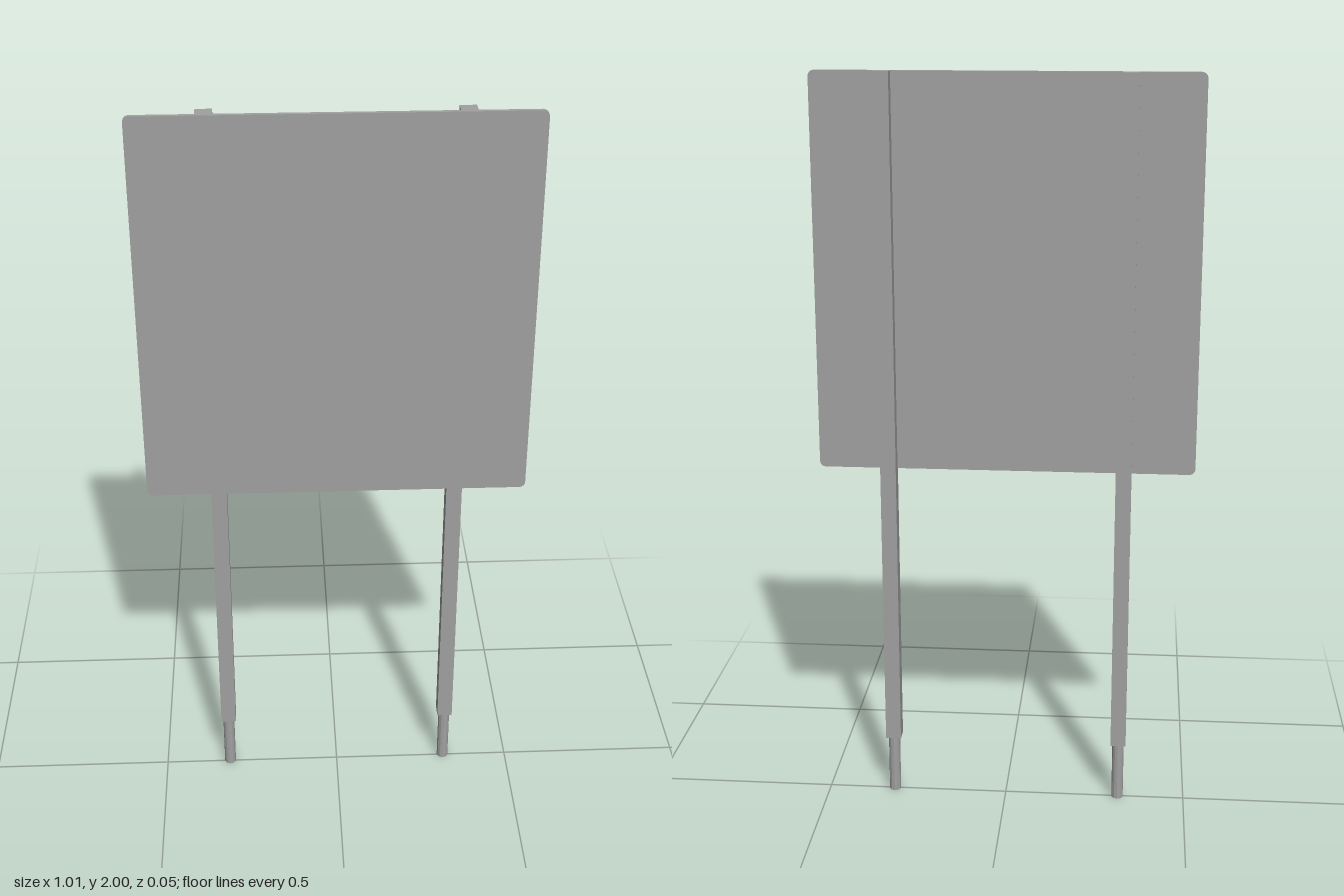
import * as THREE from 'three';

export function createModel() {
  const model = new THREE.Group();
  model.name = 'signBoard';
  const metal = new THREE.MeshStandardMaterial({ color: 0xa0a0a0 });
  metal.name = 'grey metal';

  const add = (name, geometry, x, y, z) => {
    const mesh = new THREE.Mesh(geometry, metal);
    mesh.name = name;
    mesh.position.set(x, y, z);
    model.add(mesh);
  };

  // Thin panel with small rounded corners
  const w = 0.505, bottom = 0.95, top = 2, r = 0.016;
  const outline = new THREE.Shape();
  outline.absarc(w - r, top - r, r, 0, Math.PI / 2);
  outline.absarc(-w + r, top - r, r, Math.PI / 2, Math.PI);
  outline.absarc(-w + r, bottom + r, r, Math.PI, Math.PI * 1.5);
  outline.absarc(w - r, bottom + r, r, Math.PI * 1.5, Math.PI * 2);
  outline.closePath();
  add('panel', new THREE.ExtrudeGeometry(outline, { depth: 0.011, bevelEnabled: false, curveSegments: 5 }), 0, 0, 0.012);

  // Square posts behind the panel, each with a narrow ground pin
  const pinTop = 0.165, post = 0.042;
  const pin = new THREE.CylinderGeometry(0.016, 0.016, pinTop, 12).toNonIndexed();
  pin.computeVertexNormals();
  for (const [side, x] of [['left', 0.315], ['right', -0.315]]) {
    add(side + 'Post', new THREE.BoxGeometry(post, top - pinTop, post), x, (top + pinTop) / 2, -0.002);
    add(side + 'GroundPin', pin, x, pinTop / 2, -0.002);
  }
  return model;
}
